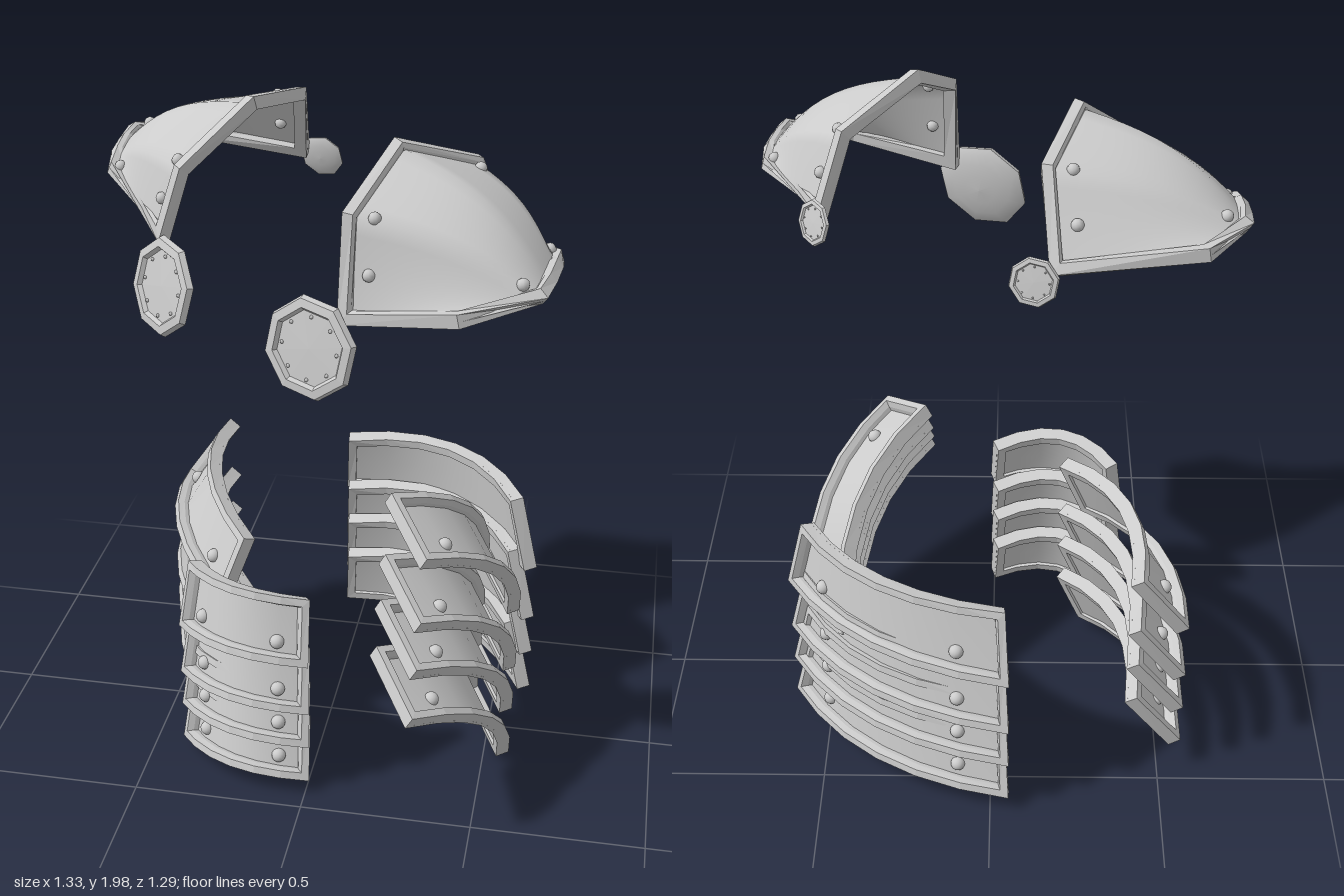
import * as THREE from 'three';

const V = (a) => new THREE.Vector3(...a);
const material = new THREE.MeshStandardMaterial({ color: 0xcccccc, side: THREE.DoubleSide });
const flatMaterial = new THREE.MeshStandardMaterial({ color: 0xcccccc, side: THREE.DoubleSide, flatShading: true });

function part(geometry, name, mat = material) {
  const mesh = new THREE.Mesh(geometry, mat);
  mesh.name = name;
  return mesh;
}

// Point on a polyline whose points are evenly spaced in u
function along(points, u) {
  const t = Math.min(Math.max(u, 0), 1) * (points.length - 1);
  const i = Math.min(Math.floor(t), points.length - 2);
  return points[i].clone().lerp(points[i + 1], t - i);
}

// Outward normal of a surface function
function normalAt(surface, u, v) {
  const e = 0.03, c = (x) => Math.min(Math.max(x, 0), 1);
  const du = surface(c(u + e), v).sub(surface(c(u - e), v));
  const dv = surface(u, c(v + e)).sub(surface(u, c(v - e)));
  return du.cross(dv).normalize();
}

// Smooth curved sheet
function sheet(surface, nu, nv) {
  const pos = [], index = [];
  for (let j = 0; j <= nv; j++) {
    for (let i = 0; i <= nu; i++) {
      pos.push(...surface(i / nu, j / nv).toArray());
      if (i < nu && j < nv) {
        const a = j * (nu + 1) + i, b = a + nu + 1;
        index.push(a, a + 1, b, a + 1, b + 1, b);
      }
    }
  }
  const g = new THREE.BufferGeometry();
  g.setAttribute('position', new THREE.Float32BufferAttribute(pos, 3));
  g.setIndex(index);
  g.computeVertexNormals();
  return g;
}

// Mitred bar around the border of a surface
function rim(surface, nu, nv, width, below, above) {
  const loop = [];
  for (let i = 0; i < nu; i++) loop.push([i / nu, 0]);
  for (let i = 0; i < nv; i++) loop.push([1, i / nv]);
  for (let i = nu; i > 0; i--) loop.push([i / nu, 1]);
  for (let i = nv; i > 0; i--) loop.push([0, i / nv]);
  const n = loop.length, p = loop.map(([u, v]) => surface(u, v));
  const pos = [], index = [];
  for (let i = 0; i < n; i++) {
    const normal = normalAt(surface, ...loop[i]);
    const before = p[i].clone().sub(p[(i + n - 1) % n]);
    const after = p[(i + 1) % n].clone().sub(p[i]);
    const i1 = normal.clone().cross(before).normalize();
    const i2 = normal.clone().cross(after).normalize();
    const inward = i1.clone().add(i2).multiplyScalar(width / Math.max(0.6, 1 + i1.dot(i2)));
    for (const [w, h] of [[0, -below], [0, above], [0.8, above], [1, above * 0.4], [1, -below]]) {
      pos.push(...p[i].clone().addScaledVector(inward, w).addScaledVector(normal, h).toArray());
    }
    for (let k = 0; k < 5; k++) {
      const a = i * 5 + k, b = i * 5 + (k + 1) % 5;
      const c = ((i + 1) % n) * 5 + k, d = ((i + 1) % n) * 5 + (k + 1) % 5;
      index.push(a, b, c, b, d, c);
    }
  }
  const g = new THREE.BufferGeometry();
  g.setAttribute('position', new THREE.Float32BufferAttribute(pos, 3));
  g.setIndex(index);
  g.computeVertexNormals();
  return g;
}

// Rivets; an arc of PI gives outward half domes, 2 PI shows on both sides
function addRivets(group, surface, spots, radius, arc) {
  for (const [u, v] of spots) {
    const rivet = part(new THREE.SphereGeometry(radius, 10, 8, 0, arc), 'rivet');
    rivet.quaternion.setFromUnitVectors(new THREE.Vector3(0, 0, 1), normalAt(surface, u, v));
    rivet.position.copy(surface(u, v));
    group.add(rivet);
  }
}

// Shoulder guard: an arch at the neck running out to a low outer edge
function shoulderGuard(name, archPoints, outerPoints) {
  const arch = archPoints.map(V);
  const [d, e, f] = outerPoints.map(V);
  const outer = [d, d.clone().lerp(e, 0.33), d.clone().lerp(e, 0.67), e, f];
  const out = d.clone().add(e).multiplyScalar(0.5).sub(arch[2]).setY(0).normalize().setY(1.3).normalize();
  const surface = (u, v) => along(arch, u).lerp(along(outer, u), v)
    .addScaledVector(out, 0.055 * Math.sin(Math.PI * u) * Math.sin(Math.PI * v));
  const group = new THREE.Group();
  group.name = name;
  group.add(part(sheet(surface, 24, 12), 'shoulderPlate'));
  group.add(part(rim(surface, 4, 1, 0.035, 0.018, 0.02), 'shoulderRim', flatMaterial));
  addRivets(group, surface,
    [[0.12, 0.16], [0.27, 0.12], [0.74, 0.13], [0.88, 0.16], [0.12, 0.83], [0.74, 0.87]], 0.017, Math.PI * 2);
  return group;
}

// Skirt section: four overlapping curved plates, each shifted from the last
function skirtSection(name, { top, bottom, shift, bulge }) {
  const [ta, tb, ba, bb] = [...top, ...bottom].map(V);
  const out = tb.clone().sub(ta).cross(ba.clone().sub(ta)).normalize();
  const step = V(shift);
  const section = new THREE.Group();
  section.name = name;
  for (const steps of [0, 1.22, 2.1, 3]) {
    const surface = (u, v) => ta.clone().lerp(tb, u).lerp(ba.clone().lerp(bb, u), v)
      .addScaledVector(out, bulge * (1 - (2 * u - 1) ** 2))
      .addScaledVector(step, steps);
    const plate = new THREE.Group();
    plate.name = 'skirtPlate';
    plate.add(part(sheet(surface, 6, 2), 'plate'));
    plate.add(part(rim(surface, 6, 1, 0.028, 0.01, 0.032), 'plateRim', flatMaterial));
    addRivets(plate, surface, [[0.18, 0.7], [0.82, 0.7]], 0.021, Math.PI);
    section.add(plate);
  }
  return section;
}

// Octagonal disc with raised rim and smooth domed back
function disc(name, center, radius, facing) {
  const group = new THREE.Group();
  group.name = name;
  const lathe = (profile, partName, mat) => {
    const points = profile.map(([r, h]) => new THREE.Vector2(r * radius, h * radius));
    const mesh = part(new THREE.LatheGeometry(points, 8, 0.25), partName, mat);
    mesh.rotation.x = Math.PI / 2;
    group.add(mesh);
  };
  lathe([[0, -0.2], [0.35, -0.18], [0.65, -0.13], [0.88, -0.06], [1, 0.02]], 'discBack', material);
  lathe([[1, 0.02], [0.95, 0.14], [0.78, 0.16], [0.72, 0.08], [0, 0.1]], 'discFace', flatMaterial);
  for (let i = 0; i < 8; i++) {
    const a = (i / 8) * Math.PI * 2;
    const stud = part(new THREE.SphereGeometry(radius * 0.04, 6, 4), 'discStud');
    stud.position.set(Math.cos(a) * radius * 0.6, Math.sin(a) * radius * 0.6, radius * 0.09);
    group.add(stud);
  }
  group.position.set(...center);
  group.lookAt(V(center).add(V(facing)));
  return group;
}

export function createModel() {
  const model = new THREE.Group();
  model.name = 'armour';

  // Shoulder guards
  model.add(shoulderGuard('leftShoulder',
    [[0.46, 1.65, -0.01], [0.39, 1.87, 0.04], [0.2, 1.96, 0.22], [0.11, 1.84, 0.435], [0.11, 1.56, 0.475]],
    [[0.65, 1.69, 0.235], [0.625, 1.67, 0.495], [0.42, 1.63, 0.575]]));
  model.add(shoulderGuard('rightShoulder',
    [[-0.44, 1.62, 0.15], [-0.38, 1.82, 0.13], [-0.21, 1.98, 0], [-0.125, 1.935, -0.27], [-0.15, 1.71, -0.42]],
    [[-0.655, 1.75, -0.07], [-0.655, 1.785, -0.3], [-0.545, 1.775, -0.425]]));

  // Discs hanging at the ends of the shoulder guards
  model.add(disc('leftFrontDisc', [0.037, 1.492, 0.485], 0.14, [-0.38, 0.15, 0.92]));
  model.add(disc('rightFrontDisc', [-0.425, 1.515, 0.205], 0.14, [-0.67, 0.2, 0.74]));
  model.add(disc('leftBackDisc', [0.475, 1.665, -0.065], 0.065, [0.75, 0.25, -0.66]));
  model.add(disc('rightBackDisc', [-0.11, 1.7, -0.43], 0.067, [0.2, 0.25, -0.96]));

  // Skirt sections
  model.add(skirtSection('leftSkirt', {
    top: [[0.41, 0.45, -0.345], [0.19, 0.885, 0.165]],
    bottom: [[0.54, 0.345, -0.15], [0.32, 0.79, 0.355]],
    shift: [0.003, -0.108, 0.1], bulge: 0.1,
  }));
  model.add(skirtSection('leftBackSkirt', {
    top: [[-0.04, 0.71, -0.53], [0.53, 0.73, -0.18]],
    bottom: [[-0.055, 0.5, -0.605], [0.585, 0.5, -0.16]],
    shift: [0, -0.147, 0], bulge: 0.115,
  }));
  model.add(skirtSection('rightFrontSkirt', {
    top: [[-0.01, 0.635, 0.33], [-0.36, 0.65, 0.21]],
    bottom: [[0, 0.45, 0.4], [-0.385, 0.45, 0.255]],
    shift: [0, -0.134, 0], bulge: 0.085,
  }));
  model.add(skirtSection('rightBackSkirt', {
    top: [[-0.21, 0.705, 0.15], [-0.4, 0.755, -0.48]],
    bottom: [[-0.285, 0.5, 0.19], [-0.54, 0.56, -0.455]],
    shift: [0, -0.147, 0], bulge: 0.085,
  }));

  return model;
}
